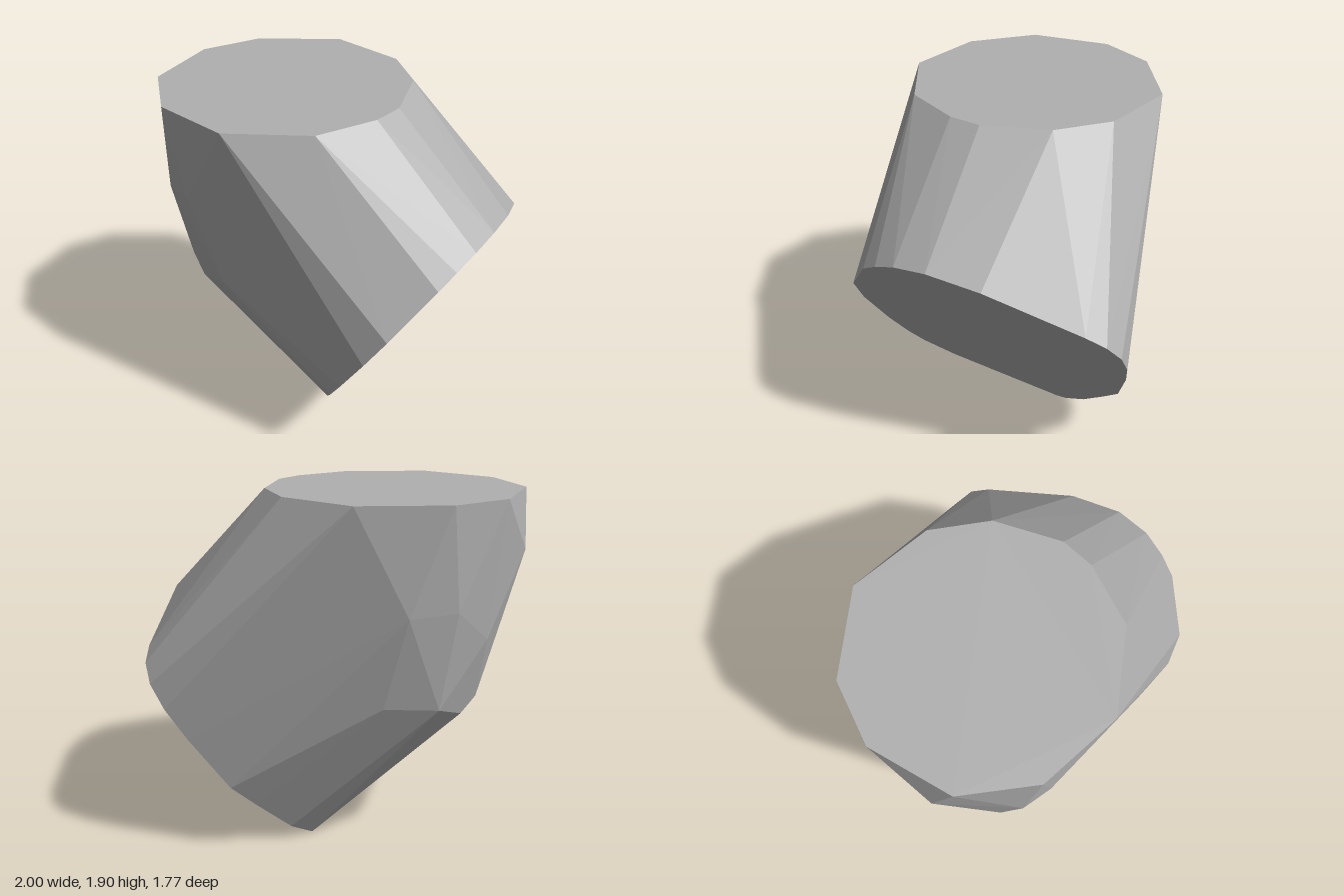
import * as THREE from 'three';
import { ConvexGeometry } from 'three/addons/geometries/ConvexGeometry.js';

export function createModel() {
  const group = new THREE.Group();
  group.name = 'cutStone';
  const stoneGrey = new THREE.MeshStandardMaterial({ color: 0xb0b0b0, flatShading: true });
  stoneGrey.name = 'stone grey';

  // Flat top outline (x, z)
  const top = [
    [-1, -0.36], [-0.757, -0.74], [-0.44, -0.88], [0.03, -0.81], [0.307, -0.46], [0.345, -0.14],
    [0.215, 0.2], [0.085, 0.325], [-0.23, 0.467], [-0.68, 0.385], [-0.965, 0.04],
  ].map(([x, z]) => new THREE.Vector3(x, 1.904, z));

  // Slanted cut face outline (x, y); z follows from the plane of the cut
  const cut = [
    [1, 1.04], [0.985, 0.95], [0.92, 0.825], [0.81, 0.665], [0.6, 0.39], [0.46, 0.26], [0.265, 0.085],
    [0.135, 0], [0.1, 0], [-0.15, 0.22], [-0.195, 0.32], [-0.19, 0.41], [-0.15, 0.55], [-0.045, 0.793],
    [0.065, 0.965], [0.32, 1.213], [0.42, 1.28], [0.53, 1.335], [0.655, 1.357], [0.795, 1.305], [0.975, 1.1],
  ].map(([x, y]) => new THREE.Vector3(x, y, -0.27 - 1.327 * (x - 0.1) + 1.15 * y));

  // Corners of the rough, facetted back and side
  const rough = [
    [-0.97, 1.41, -0.05], [-0.88, 1.41, 0.09], [-0.725, 0.895, 0.15], [-0.89, 0.9, -0.17],
    [-0.84, 0.775, -0.13], [-0.965, 1.6, -0.48], [-0.24, 1.36, -0.855], [-0.5, 1.37, -0.82],
    [-0.7, 1.19, -0.69], [-0.44, 0.845, -0.75], [-0.15, 0.87, -0.745], [-0.7, 0.84, -0.56],
    [-0.6, 0.77, -0.62],
  ].map((p) => new THREE.Vector3(...p));

  const stone = new THREE.Mesh(new ConvexGeometry([...top, ...cut, ...rough]), stoneGrey);
  stone.name = 'stone';
  group.add(stone);
  return group;
}
